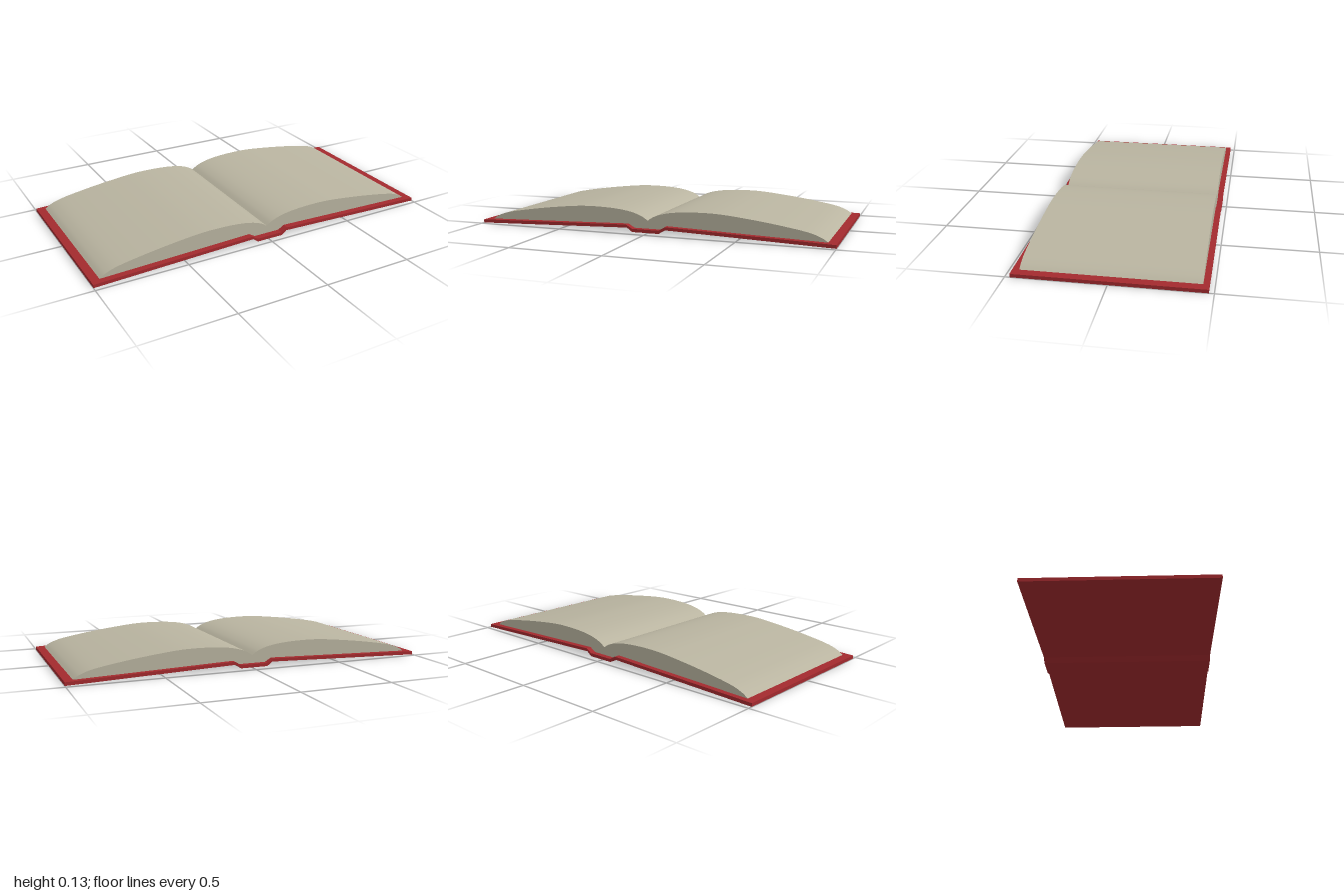
import * as THREE from 'three';
import { toCreasedNormals } from 'three/addons/utils/BufferGeometryUtils.js';

const cloth = new THREE.MeshStandardMaterial({ color: 0xa32a2e });
cloth.name = 'red cover';
const paper = new THREE.MeshStandardMaterial({ color: 0xb9b4a0 });
paper.name = 'aged paper';

// Extrudes an outline in the xy plane from zBack to zFront, smoothing gentle bends.
function extrude(name, points, zBack, zFront, material, crease) {
  const geometry = new THREE.ExtrudeGeometry(new THREE.Shape(points), {
    depth: zFront - zBack, bevelEnabled: false, steps: 1,
  });
  geometry.translate(0, 0, zBack);
  const mesh = new THREE.Mesh(toCreasedNormals(geometry, crease), material);
  mesh.name = name;
  return mesh;
}

const vectors = (list) => list.map(([x, y]) => new THREE.Vector2(x, y));
const mirror = (points) => points.map((p) => new THREE.Vector2(-p.x, p.y)).reverse();

export function createModel() {
  const book = new THREE.Group();
  book.name = 'openBook';

  // Cover: two gently sloping boards joined by a sunken spine strip
  const top = vectors([[0.075, 0.025], [0.11, 0.046], [1, 0.018]]);
  const bottom = vectors([[1, 0], [0.105, 0.03], [0.075, 0.008]]);
  const rightHalf = [...top, ...bottom];
  const leftHalf = mirror(rightHalf);
  // outline order: right top, right bottom, left bottom, left top
  book.add(extrude('cover', [...rightHalf, ...leftHalf], -0.475, 0.475, cloth, 0.2));

  // Page blocks: arched top curve falling to the fore edge and into the gutter
  const arch = new THREE.SplineCurve(vectors([
    [0.955, 0.02], [0.92, 0.042], [0.85, 0.065], [0.7, 0.091], [0.55, 0.111],
    [0.4, 0.126], [0.28, 0.128], [0.17, 0.122], [0.09, 0.109], [0.035, 0.09], [0, 0.068],
  ])).getPoints(50);
  const pages = [...arch, ...vectors([[0, 0.0245], [0.075, 0.0245], [0.11, 0.0455]])];
  book.add(extrude('leftPages', pages, -0.445, 0.44, paper, 0.6));
  book.add(extrude('rightPages', mirror(pages), -0.445, 0.44, paper, 0.6));

  return book;
}
